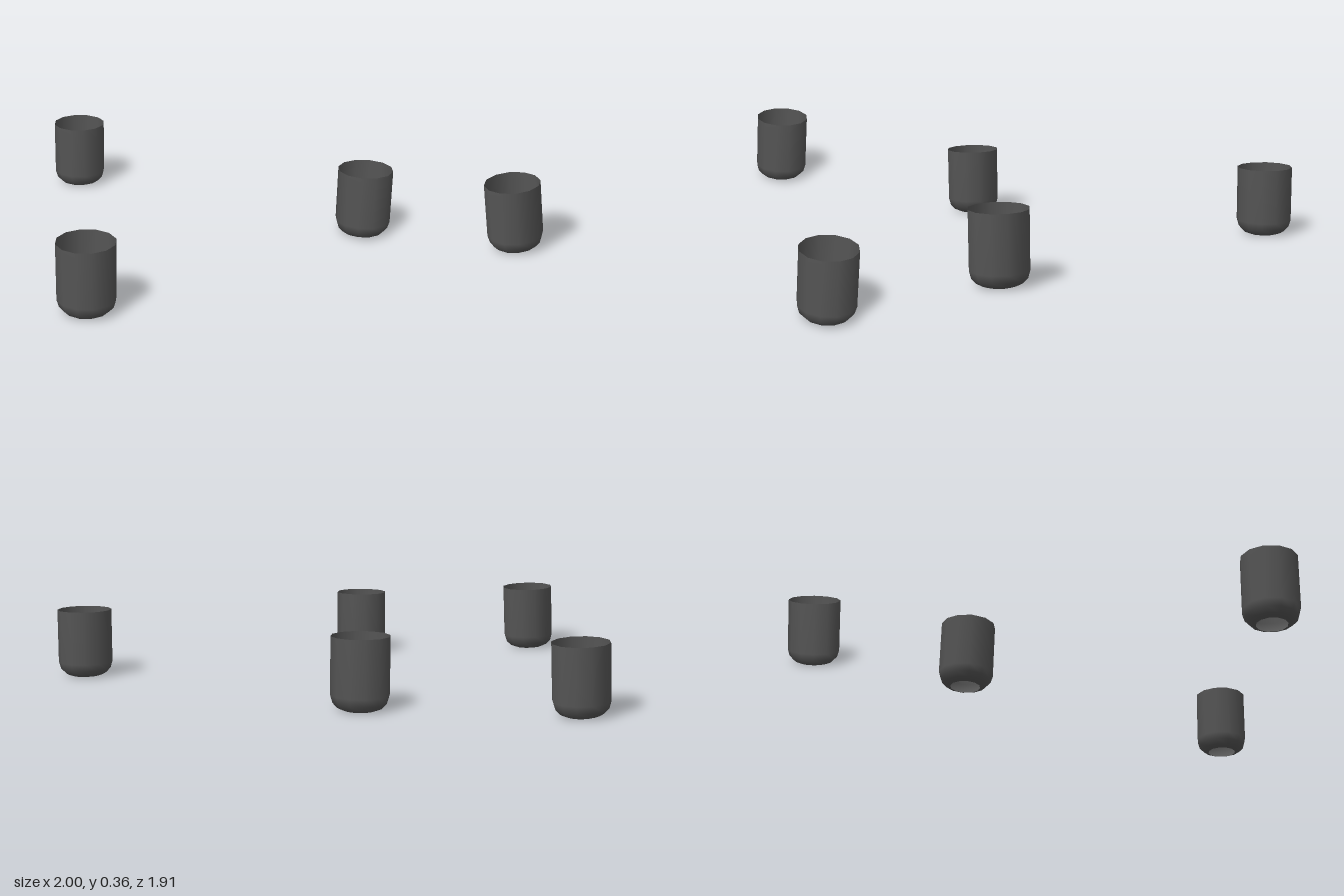
import * as THREE from 'three';

export function createModel() {
  const group = new THREE.Group();
  const material = new THREE.MeshStandardMaterial({ color: 0x555555, side: THREE.DoubleSide });

  // Thin cup wall with a rounded lower edge, open at the top and bottom
  const profile = [
    [0.08, 0], [0.11, 0.012], [0.134, 0.037], [0.145, 0.075], [0.145, 0.36],
  ].map(([r, y]) => new THREE.Vector2(r, y));
  const cupGeometry = new THREE.LatheGeometry(profile, 12);

  // Three identical cups standing apart
  const cups = [
    ['rightCup', -0.855, 0.52],
    ['backCup', 0.25, -0.815],
    ['leftCup', 0.855, 0.81],
  ];
  for (const [name, x, z] of cups) {
    const cup = new THREE.Mesh(cupGeometry, material);
    cup.name = name;
    cup.position.set(x, 0, z);
    group.add(cup);
  }
  return group;
}
